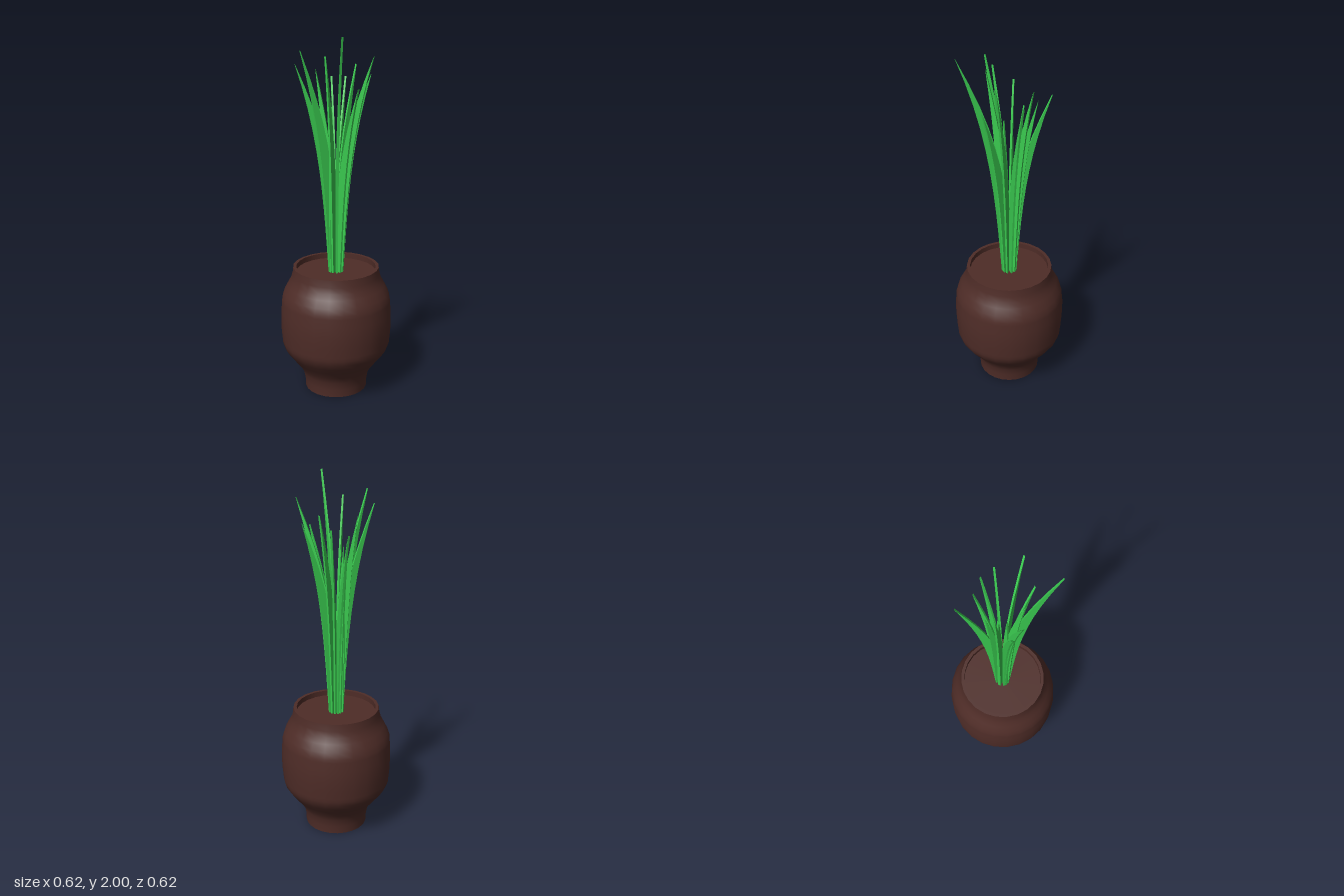
import * as THREE from 'three';

const SOIL_Y = 0.695;

export function createModel() {
  const model = new THREE.Group();
  model.name = 'pottedGrass';
  const clay = new THREE.MeshStandardMaterial({ color: 0x4e2c27 });
  const green = new THREE.MeshStandardMaterial({ color: 0x3acb50 });

  const add = (parent, name, geometry, material) => {
    const mesh = new THREE.Mesh(geometry, material);
    mesh.name = name;
    parent.add(mesh);
    return mesh;
  };
  const lathe = (points) =>
    new THREE.LatheGeometry(points.map(([r, y]) => new THREE.Vector2(r, y)), 24);

  // Pot: separate lathes keep the rim and foot edges sharp
  const pot = new THREE.Group();
  pot.name = 'pot';
  model.add(pot);
  add(pot, 'potWall', lathe([
    [0.175, 0], [0.177, 0.045], [0.185, 0.09], [0.205, 0.13], [0.24, 0.175],
    [0.272, 0.215], [0.295, 0.25], [0.304, 0.28], [0.305, 0.3], [0.31, 0.35],
    [0.312, 0.41], [0.311, 0.47], [0.305, 0.525], [0.304, 0.545], [0.293, 0.58],
    [0.272, 0.62], [0.255, 0.65], [0.245, 0.685], [0.24, 0.725],
  ]), clay);
  add(pot, 'potRim', lathe([[0.24, 0.725], [0.222, 0.725]]), clay);
  add(pot, 'potInnerWall', lathe([[0.222, 0.725], [0.222, SOIL_Y]]), clay);
  add(pot, 'soil', lathe([[0.222, SOIL_Y], [0, SOIL_Y]]), clay);
  add(pot, 'potBase', lathe([[0, 0], [0.175, 0]]), clay);

  // Grass: thin upright blades curving outwards from the centre, as tip x, y, z
  const tips = [
    [0.005, 1.75, -0.225], [0.07, 1.76, -0.133], [0.12, 1.83, -0.092],
    [0.19, 1.78, -0.022], [0.181, 1.89, 0.118], [0.095, 1.73, 0.165],
    [-0.005, 2.0, 0.272], [-0.07, 1.89, 0.102], [-0.196, 1.92, 0.076],
    [-0.22, 1.85, 0.031], [-0.102, 1.81, -0.05], [-0.035, 1.69, -0.087],
    [-0.033, 1.65, -0.025], [-0.03, 1.62, 0.02],
  ];
  const grass = new THREE.Group();
  grass.name = 'grass';
  grass.position.y = SOIL_Y;
  model.add(grass);
  const thickness = 0.01;
  for (const [x, y, z] of tips) {
    const reach = Math.hypot(x, z);
    const h = y - SOIL_Y;
    const shape = new THREE.Shape();
    shape.moveTo(0, 0);
    shape.lineTo(0.042, 0);
    shape.bezierCurveTo(0.042 + 0.12 * reach, 0.35 * h, 0.042 + 0.2 * reach, 0.65 * h, reach, h);
    shape.bezierCurveTo(0.1 * reach, 0.62 * h, 0, 0.4 * h, 0, 0);
    const geometry = new THREE.ExtrudeGeometry(shape, {
      depth: thickness, bevelEnabled: false, curveSegments: 10,
    });
    geometry.translate(0, 0, -thickness / 2);
    add(grass, 'grassBlade', geometry, green).rotation.y = Math.atan2(-z, x);
  }
  return model;
}
